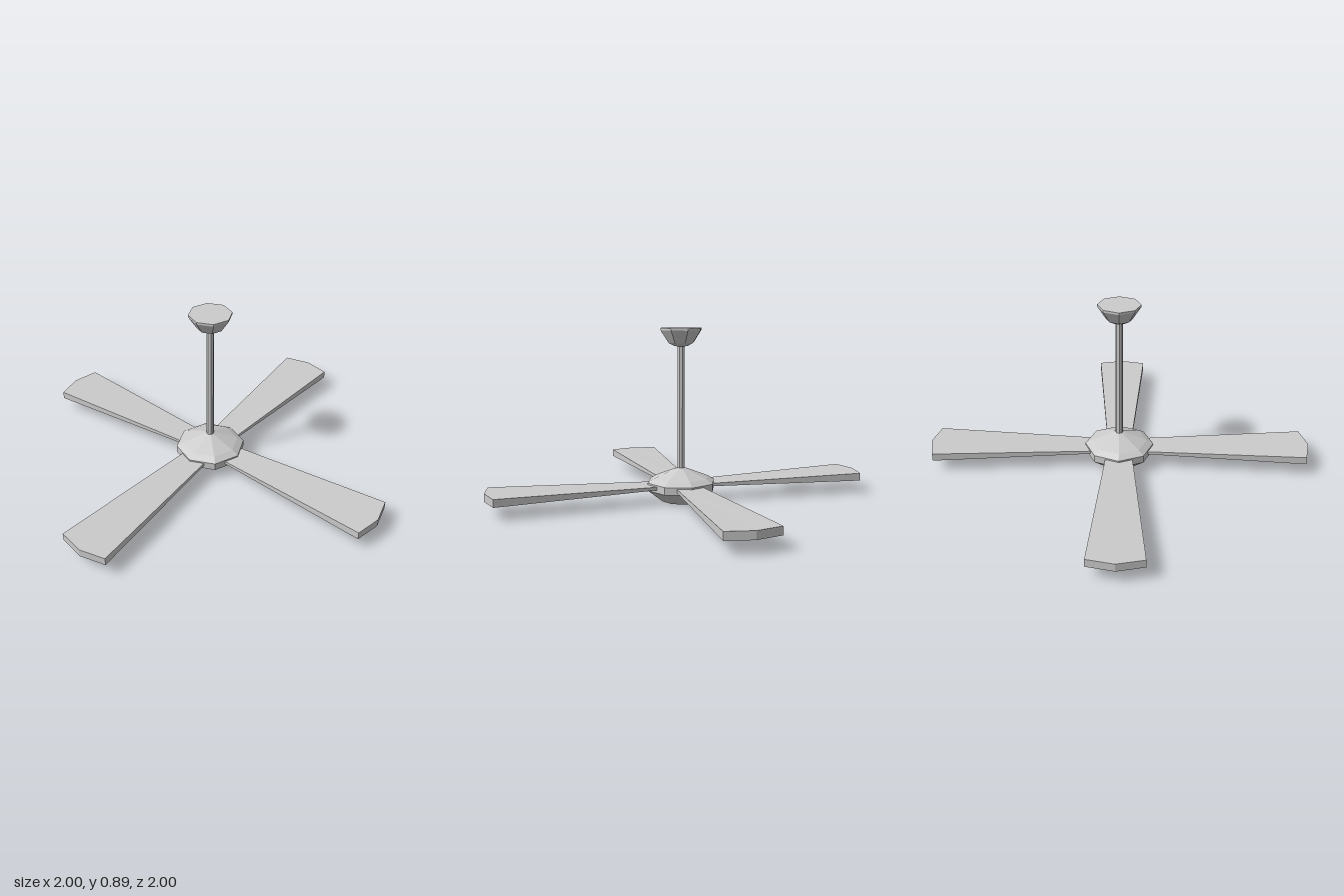
import * as THREE from 'three';

const material = new THREE.MeshStandardMaterial({ color: 0xcccccc, flatShading: true });

// Octagonal turned part from [radius, height] points, bottom to top
function turned(name, profile) {
  const points = profile.map(([r, y]) => new THREE.Vector2(r, y));
  const mesh = new THREE.Mesh(new THREE.LatheGeometry(points, 8), material);
  mesh.name = name;
  return mesh;
}

// Blade along +x that widens and thickens towards a pointed tip
function bladeGeometry() {
  const outline = new THREE.Shape([
    [0.1, -0.067], [0.97, -0.134], [1, 0], [0.97, 0.134], [0.1, 0.067],
  ].map(([x, y]) => new THREE.Vector2(x, y)));
  const geometry = new THREE.ExtrudeGeometry(outline, { depth: 1, bevelEnabled: false });
  geometry.translate(0, 0, -0.5).rotateX(-Math.PI / 2);
  const p = geometry.attributes.position;
  for (let i = 0; i < p.count; i++) {
    const t = Math.min((p.getX(i) - 0.1) / 0.87, 1);
    p.setY(i, 0.089 + p.getY(i) * THREE.MathUtils.lerp(0.014, 0.04, t));
  }
  geometry.computeVertexNormals();
  return geometry;
}

export function createModel() {
  const model = new THREE.Group();
  model.name = 'ceilingFan';

  // Motor housing, hanging rod and ceiling canopy
  model.add(
    turned('motorHousing', [
      [0, 0.003], [0.1, 0.003], [0.18, 0.066], [0.18, 0.105], [0.145, 0.126], [0.02, 0.176], [0, 0.176],
    ]),
    turned('hangingRod', [[0.019, 0.15], [0.019, 0.83]]),
    turned('ceilingCanopy', [
      [0, 0.803], [0.035, 0.803], [0.067, 0.82], [0.109, 0.884], [0.109, 0.895], [0, 0.895],
    ]),
  );

  // Four blades around the housing
  const geometry = bladeGeometry();
  for (let i = 0; i < 4; i++) {
    const blade = new THREE.Mesh(geometry, material);
    blade.name = `blade${i + 1}`;
    blade.rotation.y = i * Math.PI / 2;
    model.add(blade);
  }
  return model;
}
